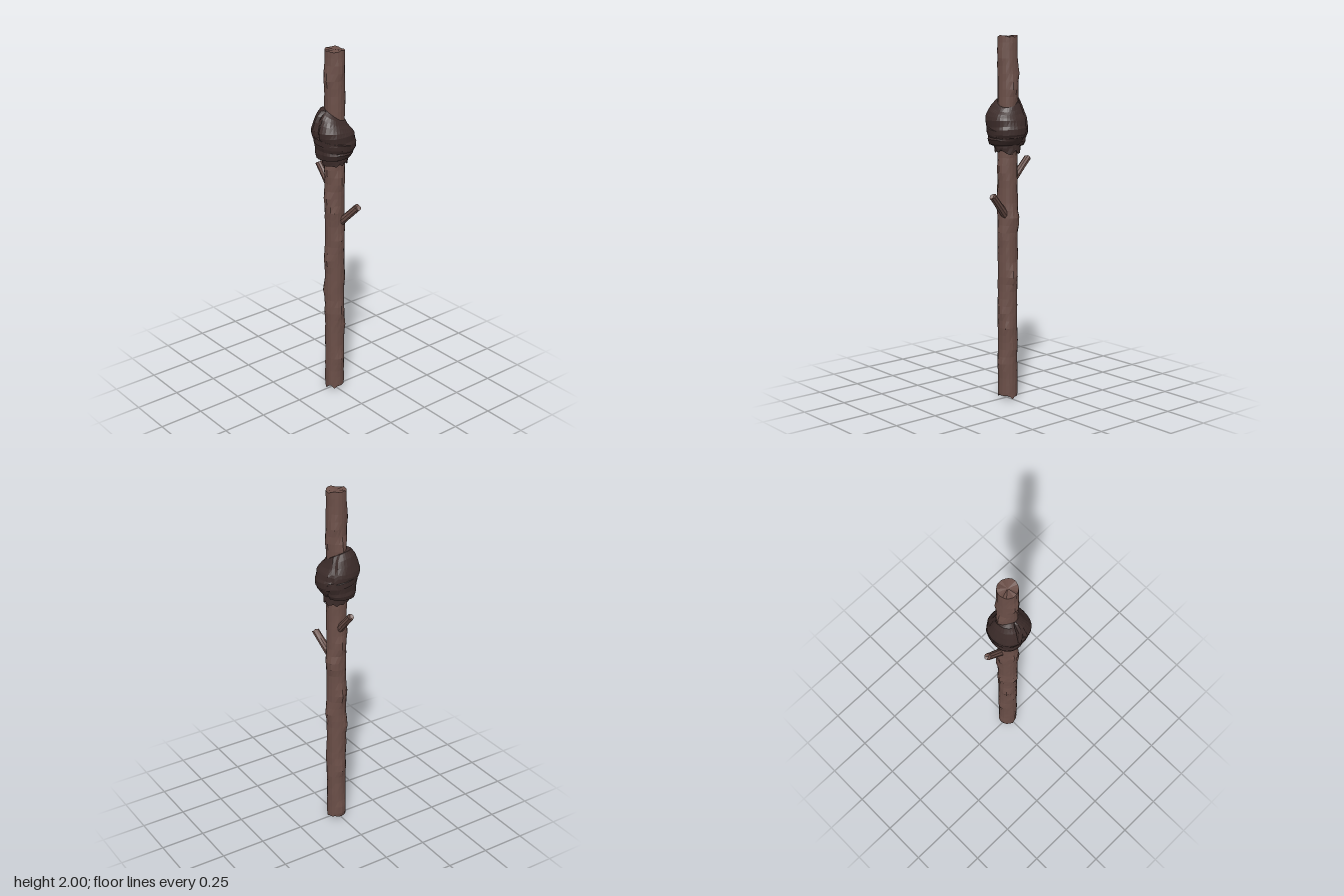
import * as THREE from 'three';

const bark = new THREE.MeshStandardMaterial({ color: 0x6b4f48, flatShading: true, side: THREE.DoubleSide });
const wrapCloth = new THREE.MeshStandardMaterial({ color: 0x3c2c2a, flatShading: true, side: THREE.DoubleSide });

// Repeatable value in -1..1 for a pair of integers
function jitter(i, j) {
  const s = Math.sin(i * 127.1 + j * 311.7) * 43758.5453;
  return 2 * (s - Math.floor(s)) - 1;
}

// Joins closed rings into a skin; point(ring, side) gives [x, y, z]
function loft(name, rings, sides, point, material) {
  const pos = [], index = [];
  for (let i = 0; i < rings; i++) {
    for (let j = 0; j < sides; j++) {
      pos.push(...point(i, j));
      if (i === rings - 1) continue;
      const a = i * sides + j, b = i * sides + (j + 1) % sides;
      index.push(a, b, b + sides, a, b + sides, a + sides);
    }
  }
  const g = new THREE.BufferGeometry();
  g.setAttribute('position', new THREE.Float32BufferAttribute(pos, 3));
  g.setIndex(index);
  g.computeVertexNormals();
  const mesh = new THREE.Mesh(g, material);
  mesh.name = name;
  return mesh;
}

// Straight shaft with raised bark knots [height, angle, swell]; angle 0 faces front
const L = -Math.PI / 2, R = Math.PI / 2, B = Math.PI;
const knots = [
  [0.7, R, 0.015], [1.4, R, 0.012], [1.02, R, 0.01], [1.72, R, 0.01], [0.3, R, 0.004],
  [0.82, L, 0.014], [1.18, L, 0.014], [1.85, L, 0.014], [0.5, L, 0.008], [1.34, L, 0.01],
  [0.2, 0, 0.011], [0.5, 0, 0.01], [0.93, 0, 0.008], [1.28, 0, 0.01], [1.9, 0, 0.008],
  [0.06, B, 0.01], [0.34, B, 0.012], [0.82, B, 0.014], [1.12, B, 0.01], [1.69, B, 0.016],
  [0.62, -2.4, 0.012], [1.0, 2.3, 0.012], [0.4, 0.8, 0.008], [1.1, -0.8, 0.01], [1.8, 2.4, 0.01],
];

function createShaft() {
  const rings = 52, sides = 18, cx = 0.006;
  return loft('shaft', rings, sides, (i, j) => {
    const a = j / sides * Math.PI * 2;
    const k = THREE.MathUtils.clamp(i - 1, 0, rings - 3) / (rings - 3);
    let y = 2 * k, r = 0.0535;
    for (const [ky, ka, h] of knots) {
      const da = Math.atan2(Math.sin(a - ka), Math.cos(a - ka));
      r += h * Math.exp(-(((y - ky) / 0.045) ** 2) - (da / 0.55) ** 2);
    }
    if (i > 1 && i < rings - 2) r += 0.001 * jitter(i, j);
    // Splintered lower rim around a recessed end, shallow chips at the top
    if (i === 1) y = 0.015 + 0.015 * jitter(2, j);
    if (i === rings - 2) { y = 1.994 + 0.006 * jitter(4, j); r = 0.0535; }
    if (i === 0) { y = 0.03; r = 0; }
    if (i === rings - 1) { y = 1.993; r = 0; }
    return [cx + r * Math.sin(a), y, r * Math.cos(a)];
  }, bark);
}

// Snapped twig tapering slightly along its axis
function createTwig(name, from, to, r) {
  const start = new THREE.Vector3(...from), end = new THREE.Vector3(...to);
  const dir = end.clone().sub(start), length = dir.length(), sides = 9;
  const twig = loft(name, 5, sides, (i, j) => {
    const a = j / sides * Math.PI * 2;
    const t = [0, 0.35, 0.7, 1, 0.96][i];
    const rad = i === 4 ? 0 : r * [1.1, 1.02, 0.95, 0.95][i] * (1 + 0.05 * jitter(i, j));
    const chip = i === 3 ? 0.006 * jitter(9, j) : 0;
    return [rad * Math.sin(a), t * length + chip, rad * Math.cos(a)];
  }, bark);
  twig.position.copy(start);
  twig.quaternion.setFromUnitVectors(new THREE.Vector3(0, 1, 0), dir.normalize());
  return twig;
}

// Bulging binding: [height, front, right (+x), back, left (-x)] radii
const profile = [
  [1.40, 0.050, 0.050, 0.050, 0.050],
  [1.415, 0.092, 0.078, 0.090, 0.088],
  [1.44, 0.103, 0.092, 0.098, 0.094],
  [1.455, 0.099, 0.098, 0.096, 0.092],
  [1.48, 0.107, 0.115, 0.101, 0.098],
  [1.505, 0.109, 0.115, 0.100, 0.100],
  [1.515, 0.104, 0.108, 0.107, 0.102],
  [1.545, 0.107, 0.101, 0.111, 0.114],
  [1.565, 0.100, 0.094, 0.108, 0.118],
  [1.595, 0.088, 0.079, 0.098, 0.103],
  [1.62, 0.072, 0.069, 0.087, 0.090],
  [1.645, 0.060, 0.058, 0.070, 0.070],
  [1.655, 0.046, 0.046, 0.048, 0.048],
];

function createBinding() {
  const sides = 36;
  return loft('binding', profile.length, sides, (i, j) => {
    const a = j / sides * Math.PI * 2;
    const q = a / (Math.PI / 2), n = Math.floor(q), f = q - n;
    const s = (1 - Math.cos(f * Math.PI)) / 2, row = profile[i];
    let r = row[1 + n % 4] * (1 - s) + row[1 + (n + 1) % 4] * s;
    const mid = i > 0 && i < profile.length - 1;
    if (mid) {
      r *= 1 + 0.05 * Math.sin(2 * a) ** 2 + 0.012 * jitter(i, j >> 1);
      // Deep overlap fold on the left, shallower one at the back
      r -= 0.018 * Math.exp(-(((a - 4.66 + 0.04 * (i - 8)) / 0.1) ** 2)) * (i > 5 ? 1 : 0.2);
      r -= 0.009 * Math.exp(-(((a - 2.3 - 0.06 * (i - 7)) / 0.12) ** 2));
    }
    // The upper edge rises toward the back left, and the layers slant
    const up = Math.max(0, (row[0] - 1.54) / 0.115);
    const y = row[0] + up * 0.028 * Math.cos(a - 3.9) + (mid ? 0.007 * Math.sin(a + i) : 0);
    return [r * Math.sin(a), y, r * Math.cos(a)];
  }, wrapCloth);
}

// Ragged collar hanging below the binding
function createCollar() {
  const sides = 24;
  return loft('collar', 4, sides, (i, j) => {
    const a = j / sides * Math.PI * 2;
    const r = [0.05, 0.068, 0.07, 0.072][i] + (i ? 0.003 * jitter(i, j) : 0);
    const y = [1.385, 1.378, 1.4, 1.425][i] + (i === 1 ? 0.014 * jitter(7, j) : 0);
    return [0.006 + r * Math.sin(a), y, r * Math.cos(a)];
  }, wrapCloth);
}

// Loose strip wound once around the bulge at a slant
function createStrip() {
  const sides = 36;
  return loft('strip', 4, sides, (i, j) => {
    const a = j / sides * Math.PI * 2;
    const r = [0.094, 0.108, 0.111, 0.098][i] + 0.0015 * jitter(i, j >> 1);
    const y = 1.495 + [-0.022, -0.016, 0.016, 0.026][i] + 0.022 * Math.cos(a - 4.2);
    return [r * Math.sin(a) + 0.001, y, r * Math.cos(a)];
  }, wrapCloth);
}

export function createModel() {
  const model = new THREE.Group();
  model.name = 'woodenStaff';
  model.add(
    createShaft(),
    createTwig('frontTwig', [0.022, 1.035, 0.03], [0.051, 1.15, 0.14], 0.021),
    createTwig('backTwig', [0.008, 1.215, -0.03], [0.008, 1.335, -0.142], 0.02),
    createBinding(),
    createCollar(),
    createStrip(),
  );
  return model;
}
